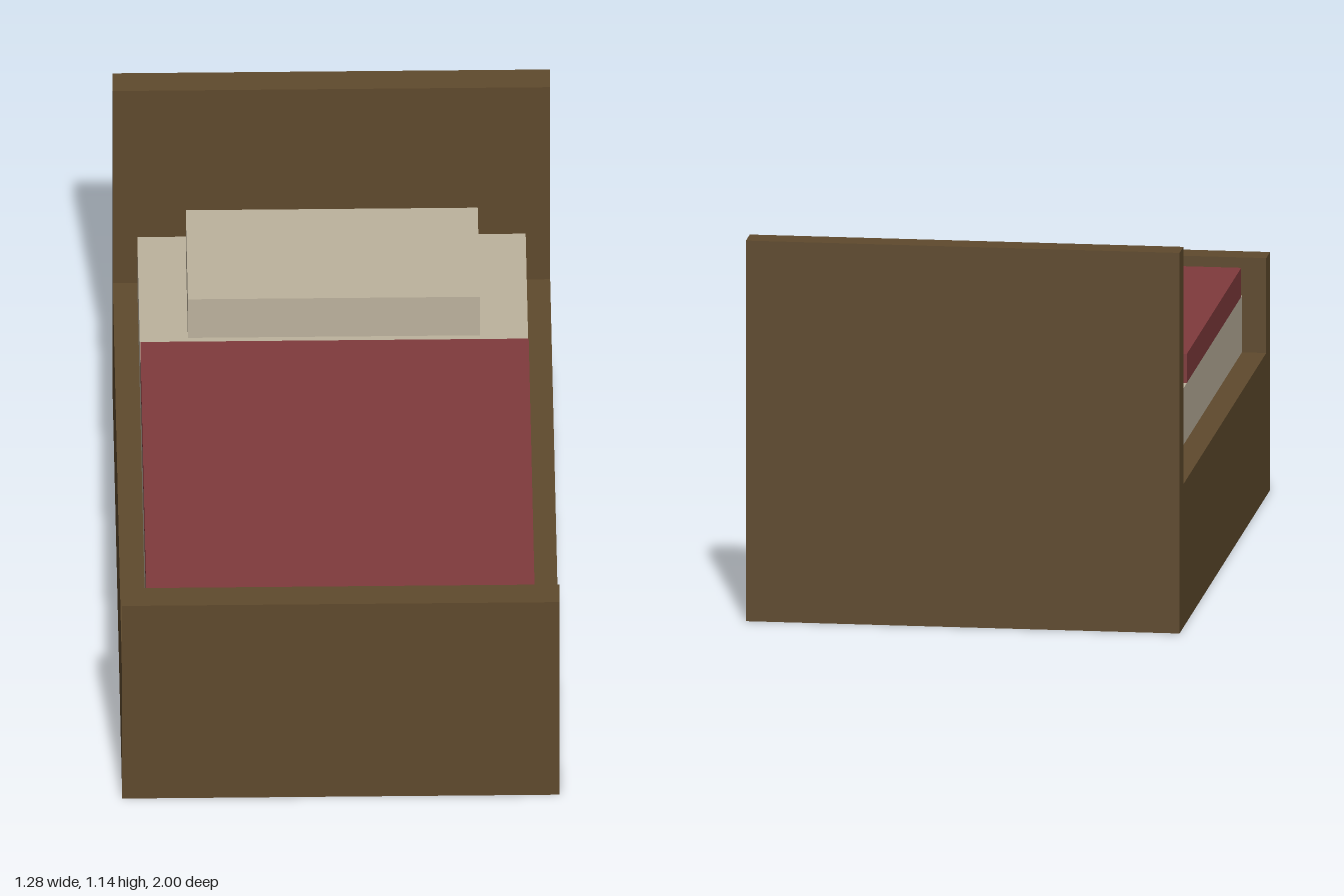
import * as THREE from 'three';

const material = (name, color) => {
  const m = new THREE.MeshStandardMaterial({ color });
  m.name = name;
  return m;
};

export function createModel() {
  const wood = material('brown wood', 0x5f4a2d);
  const linen = material('cream linen', 0xbcb29d);
  const wool = material('red wool', 0x803a3c);

  const bed = new THREE.Group();
  bed.name = 'bed';

  // Box centred on x, given its width and its y and z ranges
  const addBox = (name, mat, width, [y0, y1], [z0, z1]) => {
    const mesh = new THREE.Mesh(new THREE.BoxGeometry(width, y1 - y0, z1 - z0), mat);
    mesh.name = name;
    mesh.position.set(0, (y0 + y1) / 2, (z0 + z1) / 2);
    bed.add(mesh);
  };

  // Wooden frame
  addBox('base', wood, 1.284, [0, 0.43], [-0.915, 0.915]);
  addBox('headboard', wood, 1.284, [0, 1.143], [-1, -0.915]);
  addBox('footboard', wood, 1.284, [0, 0.715], [0.915, 1]);

  // Bedding
  addBox('mattress', linen, 1.14, [0.43, 0.6], [-0.915, 0.915]);
  addBox('blanket', wool, 1.14, [0.6, 0.687], [-0.3, 0.9]);
  addBox('pillow', linen, 0.857, [0.6, 0.743], [-0.857, -0.43]);

  return bed;
}
